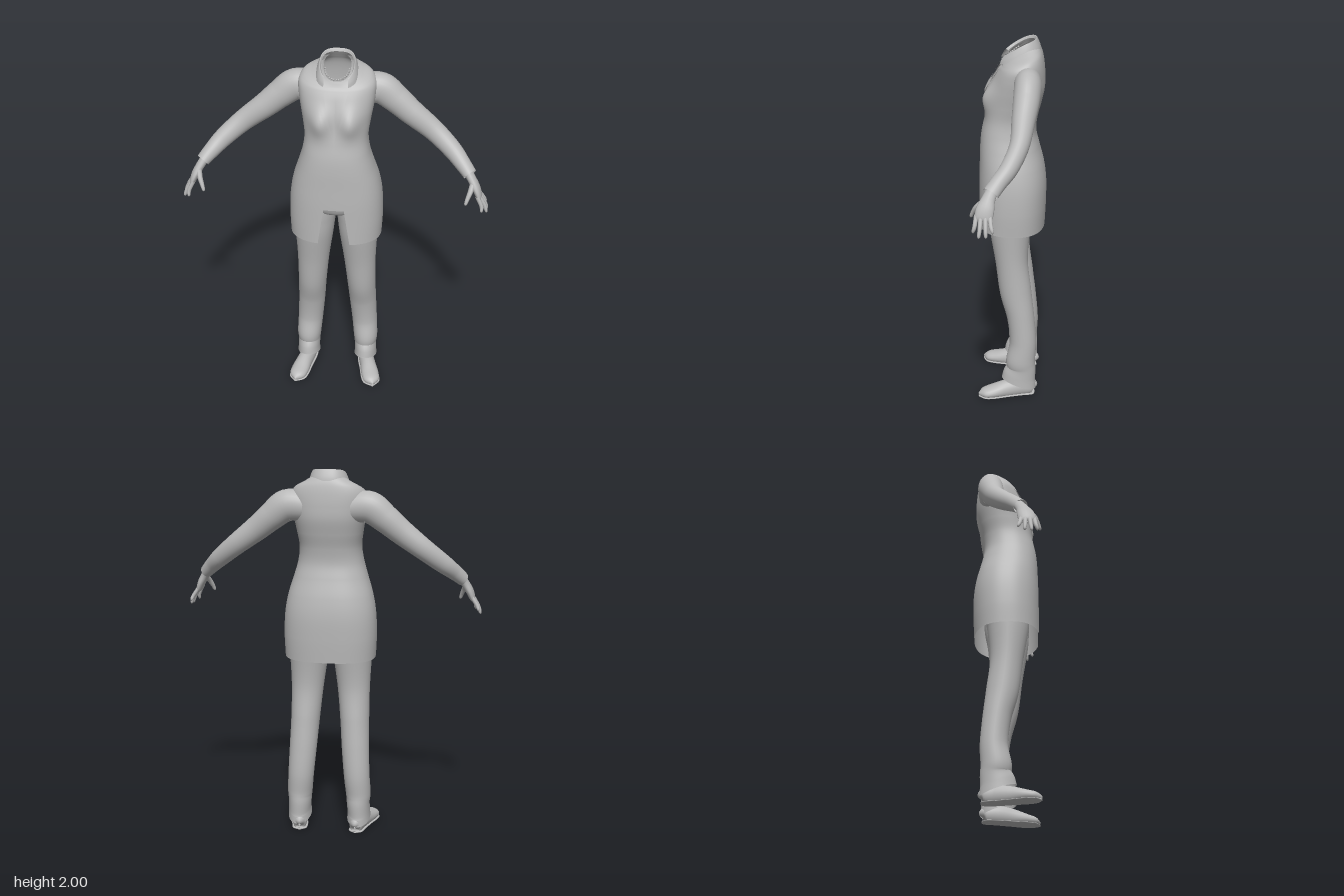
import * as THREE from 'three';
import { ParametricGeometry } from 'three/addons/geometries/ParametricGeometry.js';

const clothGrey = new THREE.MeshStandardMaterial({ color: 0xb8b8b8, side: THREE.DoubleSide });
clothGrey.name = 'plain grey';

// Smooth (Catmull-Rom) interpolation of every column of a table; i is a fractional row index
function sample(rows, i) {
  const last = rows.length - 1;
  const k = Math.max(0, Math.min(last - 1, Math.floor(i))), t = i - k;
  const row = (n) => rows[Math.max(0, Math.min(last, n))];
  const [a, b, c, d] = [row(k - 1), row(k), row(k + 1), row(k + 2)];
  return b.map((p, j) => p + 0.5 * t * (c[j] - a[j]
    + t * (2 * a[j] - 5 * p + 4 * c[j] - d[j] + t * (3 * (p - c[j]) + d[j] - a[j]))));
}

const sgnPow = (v, e) => Math.sign(v) * Math.pow(Math.abs(v), e);

// Tube through rows of [x, y, z, half width, half depth]; ref is the depth direction
function limb(rows, { ref = [0, 0, 1], nu = 20, nv = 24, rule } = {}) {
  const last = rows.length - 1, depth = new THREE.Vector3(...ref);
  return new ParametricGeometry((u, v, out) => {
    const i = v * last;
    const [x, y, z, ra, rb] = sample(rows, i);
    const p = sample(rows, Math.max(0, i - 0.05)), q = sample(rows, Math.min(last, i + 0.05));
    const T = new THREE.Vector3(q[0] - p[0], q[1] - p[1], q[2] - p[2]).normalize();
    const W = depth.clone().addScaledVector(T, -depth.dot(T)).normalize();
    const U = T.clone().cross(W);
    const a = u * Math.PI * 2;
    out.set(x, y, z)
      .addScaledVector(U, Math.max(ra, 0.001) * Math.sin(a))
      .addScaledVector(W, Math.max(rb, 0.001) * Math.cos(a));
    if (rule) rule(out);
  }, nu, nv);
}

// Torso sections: [front y, back y, half width, front z, back z]
const BODY = [
  [0.985, 0.975, 0.245, 0.182, -0.172],
  [1.10, 1.10, 0.25, 0.181, -0.178],
  [1.22, 1.22, 0.245, 0.18, -0.178],
  [1.32, 1.32, 0.228, 0.177, -0.165],
  [1.42, 1.42, 0.198, 0.174, -0.14],
  [1.50, 1.50, 0.176, 0.166, -0.123],
  [1.58, 1.58, 0.166, 0.148, -0.13],
  [1.66, 1.66, 0.176, 0.128, -0.15],
  [1.74, 1.74, 0.19, 0.112, -0.167],
  [1.81, 1.81, 0.2, 0.09, -0.168],
  [1.85, 1.87, 0.2, 0.07, -0.163],
  [1.865, 1.915, 0.178, 0.058, -0.155],
  [1.875, 1.945, 0.13, 0.052, -0.145],
  [1.885, 1.965, 0.1, 0.047, -0.133],
  [1.895, 1.985, 0.085, 0.042, -0.12],
];
const COLLAR = [
  [1.868, 1.925, 0.112, 0.078, -0.15],
  [1.885, 1.96, 0.104, 0.074, -0.142],
  [1.902, 1.993, 0.093, 0.064, -0.128],
  [1.905, 2.0, 0.088, 0.058, -0.122],
  [1.895, 1.985, 0.082, 0.05, -0.114],
];

// Half width of the front opening: a V neck above the button, a flare below
const opening = (y) => y > 1.6 ? 0.003 + (y - 1.6) * 0.24 : 0.003 + Math.max(0, 1.56 - y) * 0.143;

// Sheet around the torso from row i0 to i1; span gives the angles at a row
function wrap(rows, i0, i1, span, offset = 0, nu = 56, nv = 56) {
  return new ParametricGeometry((u, v, out) => {
    const s = sample(rows, i0 + (i1 - i0) * v);
    const hw = s[2] + offset, zf = s[3] + offset, zb = s[4] - offset;
    const [a0, a1] = span(s, v);
    const a = a0 + (a1 - a0) * u, e = 2 / 2.4;
    const x = hw * sgnPow(Math.sin(a), e);
    let z = (zf + zb) / 2 + (zf - zb) / 2 * sgnPow(Math.cos(a), e);
    const t = Math.max(0, (z - zb) / (zf - zb));
    const y = s[1] + (s[0] - s[1]) * Math.pow(t, 1.5) + offset * 0.6;
    // bust
    if (Math.cos(a) > 0) {
      z += 0.045 * Math.cos(a) * Math.exp(-(((Math.abs(x) - 0.085) / 0.06) ** 2) - ((y - 1.695) / 0.075) ** 2);
    }
    out.set(x, y, z);
  }, nu, nv);
}
const edgeAngle = (s, gap) => Math.asin(Math.min(0.95, Math.pow(gap / s[2], 1.2)));
const full = () => [0, Math.PI * 2];
const openFront = (s) => {
  const a = edgeAngle(s, opening(s[0]));
  return [a, Math.PI * 2 - a];
};

export function createModel() {
  const model = new THREE.Group();
  model.name = 'clothedFigure';
  const add = (name, geometry, parent = model) => {
    const mesh = new THREE.Mesh(geometry, clothGrey);
    mesh.name = name;
    parent.add(mesh);
    return mesh;
  };

  // Upper clothing
  add('jacket', wrap(BODY, 0, 14, openFront, 0, 72, 84));
  add('blouse', wrap(BODY, 1.83, 8.5, full, -0.01));
  add('chest', wrap(BODY, 8, 14, full, -0.015));
  add('collar', wrap(COLLAR, 0, 4, (s) => {
    const a = edgeAngle(s, 0.062);
    return [a, Math.PI * 2 - a];
  }, 0, 56, 16));
  add('trouserHips', limb([
    [0, 1.1, -0.005, 0.06, 0.06], [0, 1.14, -0.005, 0.18, 0.125],
    [0, 1.25, -0.005, 0.215, 0.148], [0, 1.35, 0, 0.18, 0.125],
  ], { nu: 32 }));

  // Necklace beads
  const necklace = new THREE.Group();
  necklace.name = 'necklace';
  model.add(necklace);
  const bead = new THREE.SphereGeometry(0.005, 8, 6);
  for (let k = -8; k <= 8; k++) {
    const a = k * 0.19;
    add('bead', bead, necklace).position.set(0.062 * Math.sin(a), 1.935 - 0.037 * Math.cos(a), -0.028 + 0.058 * Math.cos(a));
  }

  // Paired parts: side +1 is the model's left
  for (const side of [1, -1]) {
    const name = side > 0 ? 'left' : 'right';
    const flip = (rows) => rows.map(([x, ...rest]) => [side * x, ...rest]);

    add(name + 'Lapel', wrap(BODY, 6.5, 11.2, (s, v) => {
      const gap = opening(s[0]);
      return [side * edgeAngle(s, gap), side * edgeAngle(s, gap + 0.004 + 0.028 * v)];
    }, 0.006, 6, 24));

    add(name + 'Sleeve', limb(flip([
      [0.13, 1.80, -0.08, 0.08, 0.07], [0.22, 1.802, -0.085, 0.085, 0.07],
      [0.30, 1.745, -0.08, 0.075, 0.067], [0.38, 1.678, -0.07, 0.067, 0.06],
      [0.50, 1.585, -0.055, 0.057, 0.05], [0.60, 1.503, -0.01, 0.05, 0.046],
      [0.66, 1.448, 0.04, 0.042, 0.042], [0.70, 1.408, 0.075, 0.036, 0.042],
    ]), { nu: 28, nv: 42 }));

    // Hand
    const hand = new THREE.Group();
    hand.name = name + 'Hand';
    model.add(hand);
    add('palm', limb(flip([
      [0.685, 1.425, 0.065, 0.024, 0.03], [0.712, 1.385, 0.085, 0.023, 0.034],
      [0.738, 1.34, 0.1, 0.021, 0.045], [0.755, 1.298, 0.108, 0.015, 0.043],
      [0.76, 1.285, 0.11, 0.002, 0.03],
    ]), { nu: 16, nv: 16 }), hand);
    const fingers = [
      [0.756, 0.077, 0.79, 1.235, 0.062], [0.76, 0.098, 0.798, 1.214, 0.094],
      [0.758, 0.12, 0.796, 1.212, 0.128], [0.752, 0.142, 0.77, 1.228, 0.157],
    ];
    for (const [bx, bz, tx, ty, tz] of fingers) {
      add('finger', limb(flip([
        [bx - 0.008, 1.315, bz, 0.011, 0.012],
        [(bx + tx) / 2 + 0.007, (1.3 + ty) / 2, (bz + tz) / 2, 0.0105, 0.0105],
        [tx, ty + 0.01, tz, 0.008, 0.008], [tx + 0.001, ty, tz, 0.001, 0.001],
      ]), { nu: 10, nv: 10 }), hand);
    }
    add('thumb', limb(flip([
      [0.718, 1.38, 0.1, 0.014, 0.016], [0.708, 1.345, 0.14, 0.014, 0.015],
      [0.694, 1.31, 0.162, 0.011, 0.011], [0.686, 1.285, 0.172, 0.008, 0.008],
      [0.685, 1.277, 0.173, 0.001, 0.001],
    ]), { nu: 10, nv: 14 }), hand);

    // Trouser leg, with the hem rising toward the front
    add(name + 'TrouserLeg', limb(flip([
      [0.11, 1.18, 0.0, 0.113, 0.125], [0.117, 1.08, 0.005, 0.113, 0.122],
      [0.12, 0.98, 0.01, 0.105, 0.11], [0.128, 0.8, 0.002, 0.088, 0.088],
      [0.137, 0.62, -0.02, 0.079, 0.086], [0.145, 0.47, -0.048, 0.075, 0.075],
      [0.155, 0.32, -0.062, 0.071, 0.073], [0.163, 0.21, -0.05, 0.068, 0.08],
      [0.163, 0.16, -0.052, 0.063, 0.081], [0.165, 0.11, -0.043, 0.062, 0.09],
      [0.165, 0.07, -0.04, 0.064, 0.095],
    ]), {
      nu: 28, nv: 60,
      rule: (p) => { p.y += Math.max(0, 1 - (p.y - 0.07) / 0.15) * (p.z + 0.04) * 0.27; },
    }));

    // Shoe and sole
    const shoe = [
      [0.155, 0.03, -0.128, 0.005, 0.012], [0.157, 0.04, -0.112, 0.035, 0.045],
      [0.165, 0.042, -0.05, 0.042, 0.055], [0.185, 0.036, 0.03, 0.045, 0.05],
      [0.203, 0.028, 0.1, 0.05, 0.036], [0.216, 0.022, 0.15, 0.042, 0.026],
      [0.224, 0.017, 0.18, 0.004, 0.008],
    ];
    const flatBase = (p) => { p.y = Math.max(0, p.y); };
    add(name + 'Shoe', limb(flip(shoe), { ref: [0, 1, 0], nv: 30, rule: flatBase }));
    add(name + 'Sole', limb(flip(shoe.map(([x, , z, w]) => [x, 0.006, z, w + 0.003, 0.006])),
      { ref: [0, 1, 0], nv: 30, rule: flatBase }));
  }
  return model;
}
